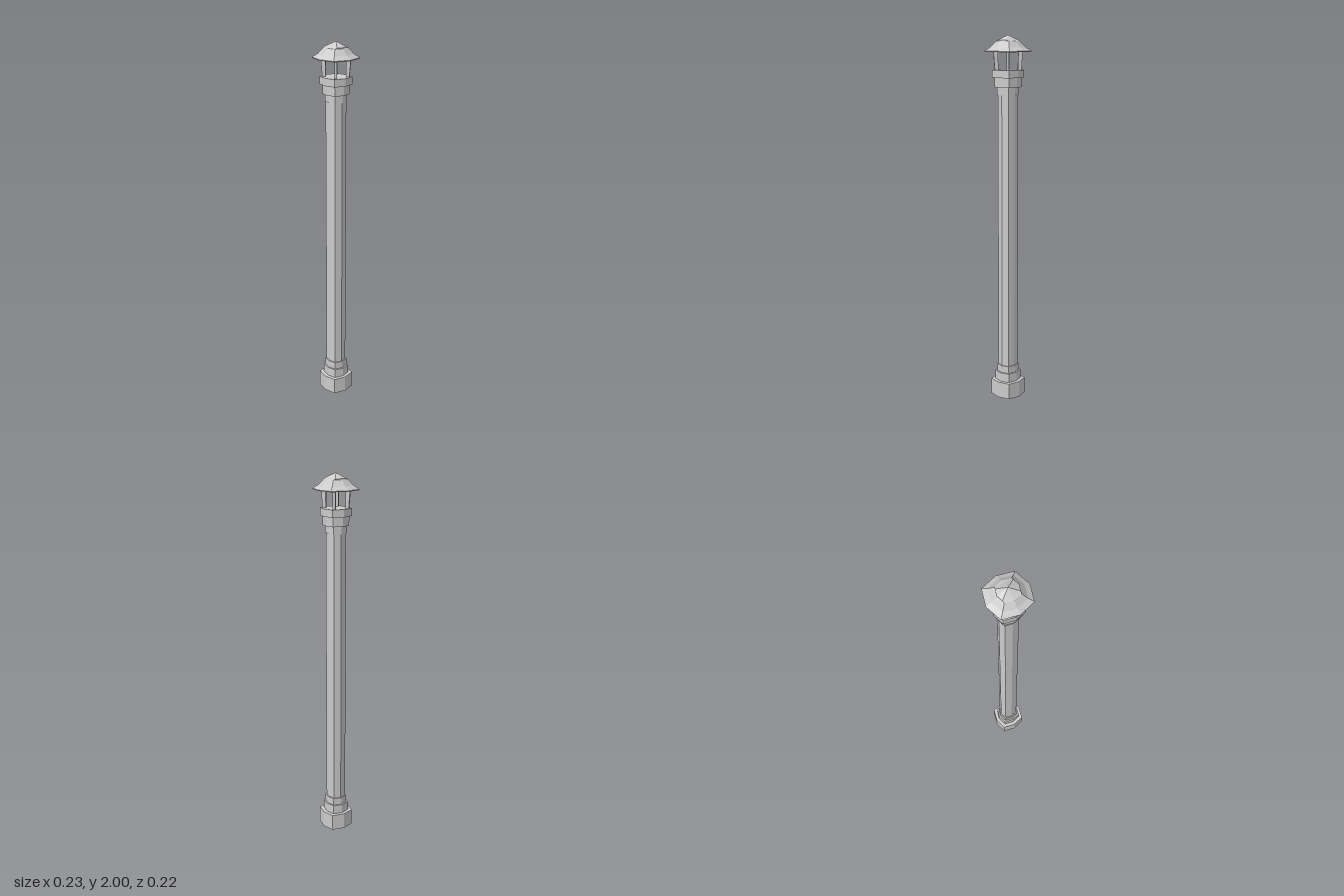
import * as THREE from 'three';

const material = new THREE.MeshStandardMaterial({ color: 0xcccccc, flatShading: true, side: THREE.DoubleSide });

// Eight-sided ring with corners on the axes (rx, rz) and on the diagonals (dx, dz)
function ring([y, rx, rz = rx, dx = rx * 0.78, dz = dx]) {
  return [
    [rx, y, 0], [dx, y, dz], [0, y, rz], [-dx, y, dz],
    [-rx, y, 0], [-dx, y, -dz], [0, y, -rz], [dx, y, -dz],
  ];
}

// Skin a list of rings; a ring of radius 0 closes an end
function loft(name, levels) {
  const positions = [];
  for (let k = 0; k < levels.length - 1; k++) {
    const low = ring(levels[k]), high = ring(levels[k + 1]);
    for (let i = 0; i < 8; i++) {
      const j = (i + 1) % 8;
      if (levels[k + 1][1] > 0) positions.push(...low[i], ...high[i], ...high[j]);
      if (levels[k][1] > 0) positions.push(...low[i], ...high[j], ...low[j]);
    }
  }
  const geometry = new THREE.BufferGeometry();
  geometry.setAttribute('position', new THREE.Float32BufferAttribute(positions, 3));
  geometry.computeVertexNormals();
  const mesh = new THREE.Mesh(geometry, material);
  mesh.name = name;
  return mesh;
}

// Straight eight-sided block
const block = (name, y0, y1, rx, rz, d) =>
  loft(name, [[y0, 0], [y0, rx, rz, d], [y1, rx, rz, d], [y1, 0]]);

export function createModel() {
  const group = new THREE.Group();
  group.name = 'chimney';

  // Stepped foot, shaft and stepped crown
  group.add(
    block('base', 0, 0.09, 0.083, 0.082, 0.066),
    block('lowerCollar', 0.09, 0.14, 0.065, 0.062, 0.05),
    block('lowerNeck', 0.14, 0.18, 0.056, 0.053, 0.043),
    block('shaft', 0.18, 1.69, 0.05, 0.046, 0.038),
    block('upperNeck', 1.69, 1.73, 0.053, 0.05, 0.041),
    block('upperCollar', 1.73, 1.78, 0.065, 0.062, 0.05),
    block('crown', 1.78, 1.82, 0.077, 0.074, 0.06),
  );

  // Four radial fins carrying the roof, flaring outwards towards the top
  const profile = new THREE.Shape([
    new THREE.Vector2(0.052, 1.815), new THREE.Vector2(0.07, 1.815),
    new THREE.Vector2(0.08, 1.944), new THREE.Vector2(0.054, 1.962),
  ]);
  const finGeometry = new THREE.ExtrudeGeometry(profile, { depth: 0.014, bevelEnabled: false });
  finGeometry.translate(0, 0, -0.007);
  const angle = 0.71;
  for (const a of [angle, -angle, Math.PI - angle, Math.PI + angle]) {
    const fin = new THREE.Mesh(finGeometry, material);
    fin.name = 'roofSupport';
    fin.rotation.y = a;
    group.add(fin);
  }

  // Hollow faceted roof: underside outwards to the rim, then the outside up to the peak
  group.add(loft('roof', [
    [1.985, 0],
    [1.963, 0.053, 0.05, 0.042],
    [1.929, 0.083, 0.08, 0.063],
    [1.913, 0.113, 0.11, 0.086],
    [1.918, 0.114, 0.111, 0.087, 0.088],
    [1.936, 0.086, 0.083, 0.066],
    [1.968, 0.058, 0.055, 0.044],
    [1.973, 0.057, 0.041, 0.047, 0.033],
    [2.0, 0],
  ]));
  return group;
}
